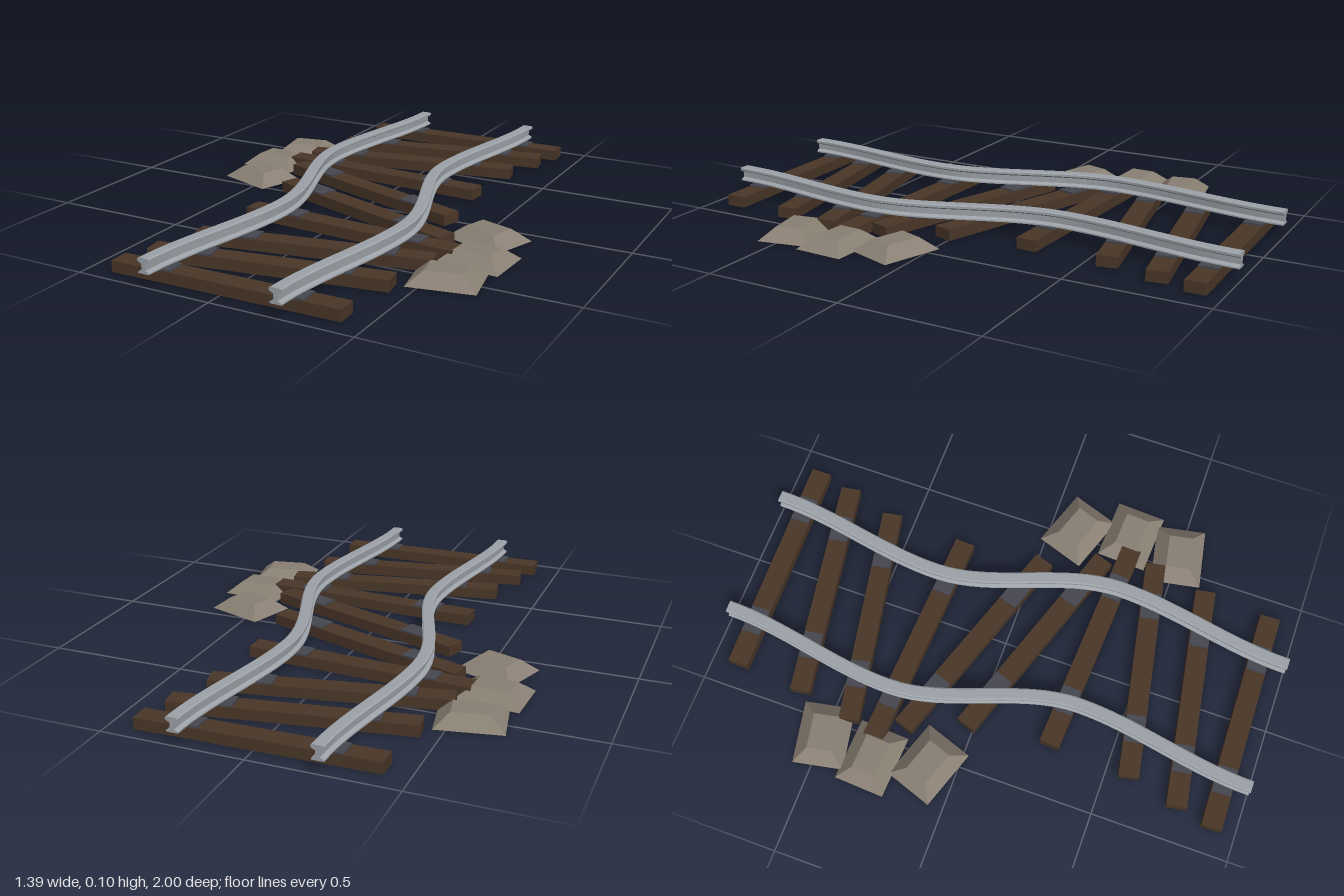
import * as THREE from 'three';

const mat = (name, color) => {
  const m = new THREE.MeshStandardMaterial({ color });
  m.name = name;
  return m;
};

export function createModel() {
  const model = new THREE.Group();
  model.name = 'windingTrack';
  const steel = mat('railSteel', 0x9da3a9);
  const wood = mat('darkWood', 0x4a3728);
  const iron = mat('plateIron', 0x45464f);
  const stone = mat('stone', 0x8a8074);

  const add = (parent, geometry, material, name, x, y, z) => {
    const mesh = new THREE.Mesh(geometry, material);
    mesh.name = name;
    mesh.position.set(x, y, z);
    parent.add(mesh);
    return mesh;
  };

  // Sideways sway of the track: straight ends, one bend each way
  const bend = 0.33, sway = 0.082;
  const ease = (t) => t * t * (3 - 2 * t);
  const offset = (z) => {
    const a = Math.abs(z);
    if (a > bend) return Math.sign(z) * sway * ease((1 - a) / (1 - bend));
    return sway * (2 * ease((z + bend) / (2 * bend)) - 1);
  };

  // Rails: I-shaped section swept along the sway
  const half = [[0.021, 0.045], [0.021, 0.05], [0.007, 0.057], [0.007, 0.078],
    [0.022, 0.086], [0.022, 0.094], [0.017, 0.097]];
  const outline = [...half, ...half.map(([x, y]) => [-x, y]).reverse()];
  const section = new THREE.Shape(outline.map(([x, y]) => new THREE.Vector2(x, y)));
  const railGeo = new THREE.ExtrudeGeometry(section, { depth: 2, steps: 48, bevelEnabled: false });
  const p = railGeo.attributes.position;
  for (let i = 0; i < p.count; i++) {
    const x = p.getX(i), z = p.getZ(i) - 1;
    const slope = Math.abs(z) > 0.999 ? 0 : (offset(z + 0.001) - offset(z - 0.001)) / 0.002;
    const len = Math.hypot(1, slope);
    p.setX(i, offset(z) + x / len);
    p.setZ(i, z - x * slope / len);
  }
  railGeo.computeVertexNormals();
  add(model, railGeo, steel, 'leftRail', 0.24, 0, 0);
  add(model, railGeo, steel, 'rightRail', -0.24, 0, 0);

  // Stones: box with its top face drawn in
  const stoneGeo = new THREE.BoxGeometry(0.23, 0.043, 0.185);
  const sp = stoneGeo.attributes.position;
  for (let i = 0; i < sp.count; i++) {
    if (sp.getY(i) > 0) {
      sp.setX(i, sp.getX(i) * 0.56);
      sp.setZ(i, sp.getZ(i) * 0.48);
    }
  }
  stoneGeo.computeVertexNormals();

  const sleeperGeo = new THREE.BoxGeometry(0.83, 0.04, 0.074);
  const plateGeo = new THREE.BoxGeometry(0.1, 0.006, 0.07);

  // Sleepers of one half: centre x, centre z, turn
  const sleepers = [[-0.003, -0.903, 0.02], [-0.027, -0.707, 0.165], [-0.072, -0.507, 0.187],
    [-0.095, -0.302, -0.054], [-0.04, -0.105, -0.325]];
  // Stones of one half: x, z, turn
  const stones = [[-0.555, -0.5, 0.19], [-0.575, -0.305, -0.05], [-0.528, -0.105, -0.33]];

  // The second half is the first turned half round
  for (const s of [1, -1]) {
    for (const [x, z, turn] of sleepers) {
      const tie = new THREE.Group();
      tie.name = 'sleeperWithPlates';
      tie.position.set(s * x, 0, s * z);
      tie.rotation.y = turn;
      add(tie, sleeperGeo, wood, 'sleeper', 0, 0.02, 0);
      for (const side of [1, -1]) add(tie, plateGeo, iron, 'railPlate', side * 0.24, 0.043, 0);
      model.add(tie);
    }
    for (const [x, z, turn] of stones) {
      const rock = add(model, stoneGeo, stone, 'stone', s * x, 0.0215, s * z);
      rock.rotation.y = turn + (s < 0 ? Math.PI : 0);
    }
  }
  return model;
}
